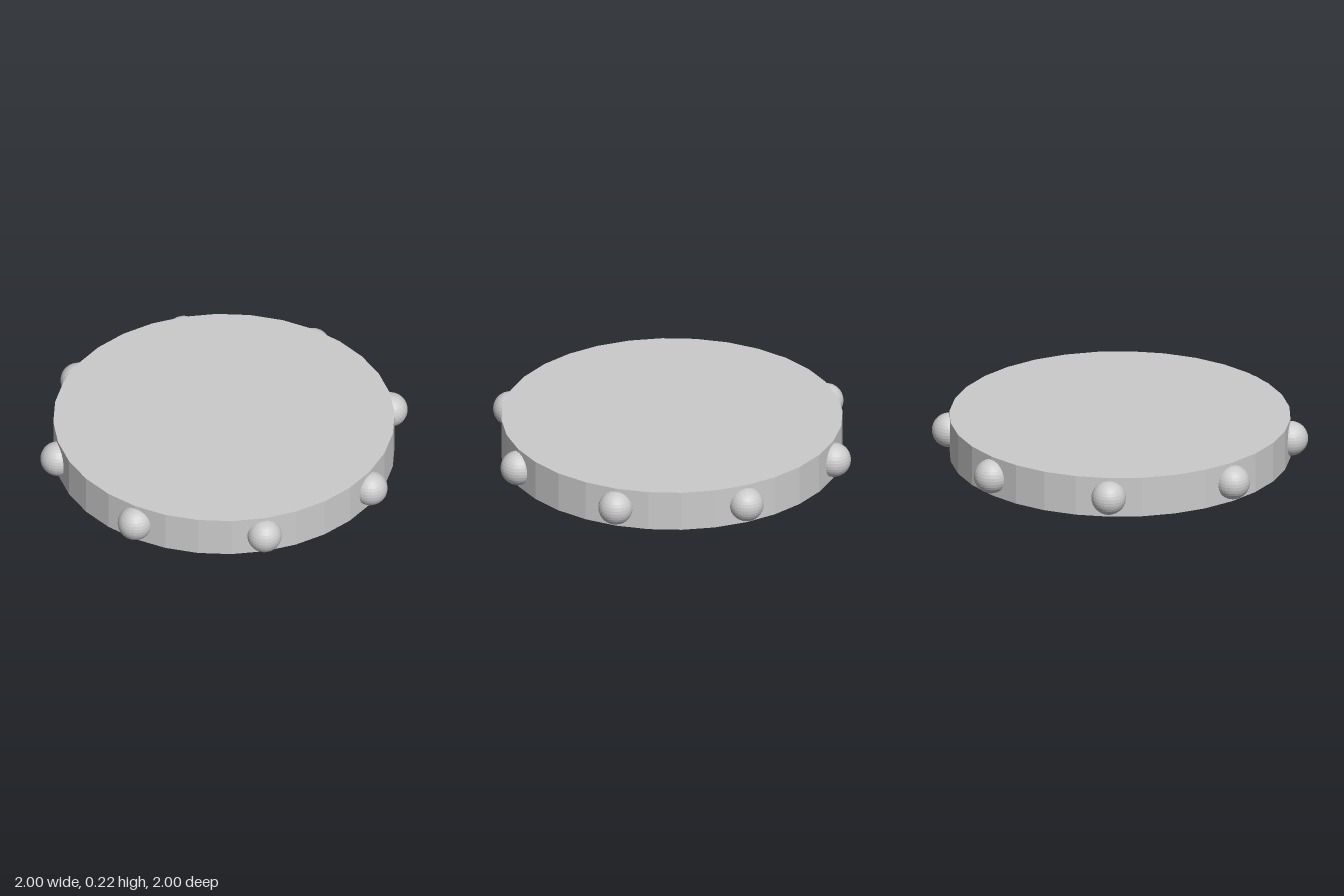
import * as THREE from 'three';

export function createModel() {
  const model = new THREE.Group();
  const height = 0.22;
  const studCount = 8;
  const studRadius = 0.092;
  const ringRadius = 1 - studRadius;
  const material = new THREE.MeshStandardMaterial({ color: 0xcccccc, flatShading: true });

  // Flat faceted disc
  const disc = new THREE.Mesh(new THREE.CylinderGeometry(0.906, 0.906, height, 32), material);
  disc.name = 'disc';
  disc.position.y = height / 2;
  model.add(disc);

  // Round studs set halfway into the rim
  const studGeometry = new THREE.SphereGeometry(studRadius, 32, 16);
  const studs = new THREE.Group();
  studs.name = 'rimStuds';
  for (let i = 0; i < studCount; i++) {
    const angle = (i / studCount) * Math.PI * 2;
    const stud = new THREE.Mesh(studGeometry, material);
    stud.name = `rimStud${i + 1}`;
    stud.position.set(Math.sin(angle) * ringRadius, height / 2, Math.cos(angle) * ringRadius);
    studs.add(stud);
  }
  model.add(studs);

  return model;
}
